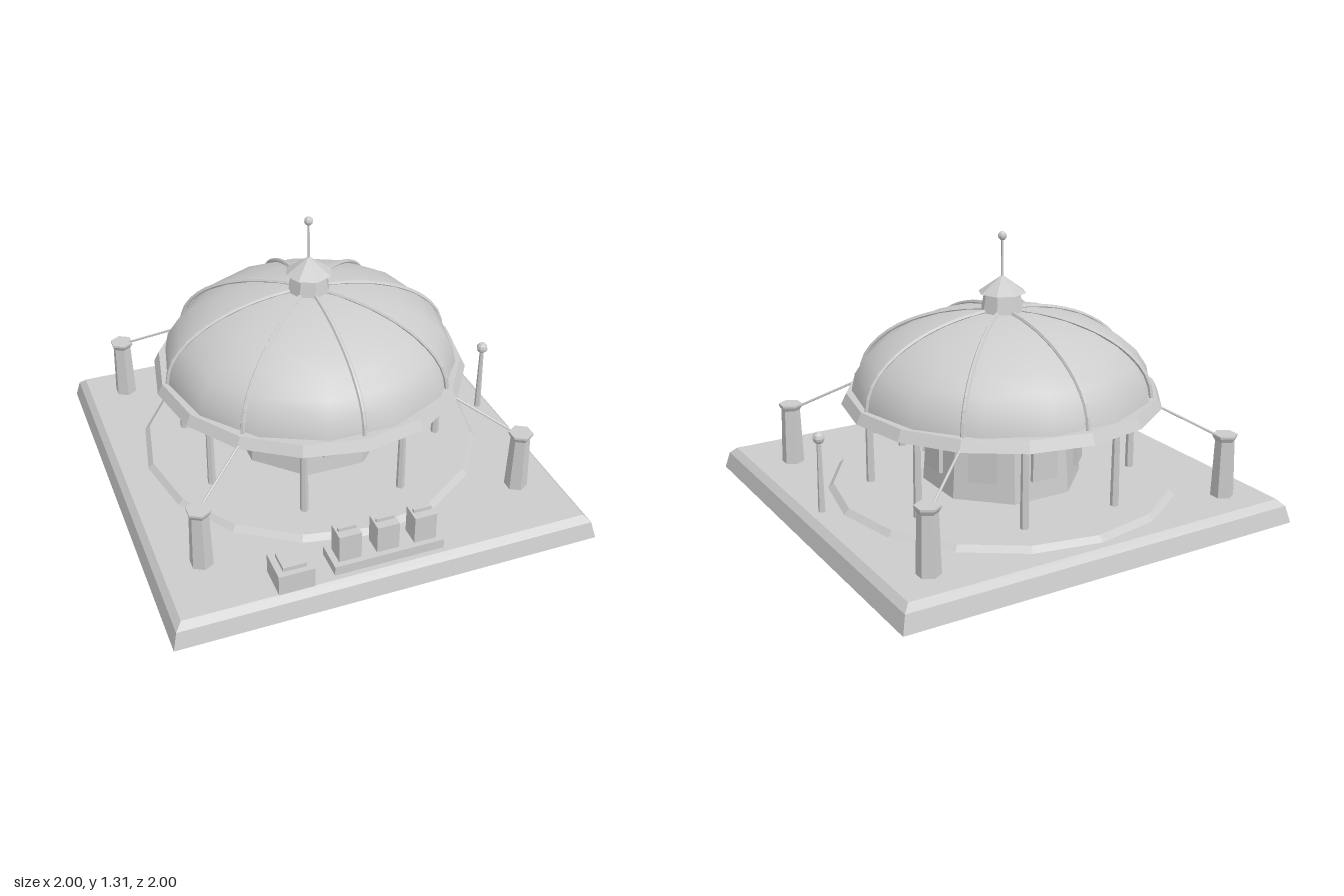
import * as THREE from 'three';
import { mergeVertices } from 'three/addons/utils/BufferGeometryUtils.js';

const grey = new THREE.MeshStandardMaterial({ color: 0xcccccc });
grey.name = 'light grey';

export function createModel() {
  const model = new THREE.Group();
  model.name = 'pavilion';

  // Facet the geometry, place it and name it
  const add = (parent, name, geo, x = 0, y = 0, z = 0, smooth = false) => {
    if (!smooth) {
      geo = geo.index ? geo.toNonIndexed() : geo;
      geo.computeVertexNormals();
    }
    const mesh = new THREE.Mesh(geo, grey);
    mesh.name = name;
    mesh.position.set(x, y, z);
    parent.add(mesh);
    return mesh;
  };
  const box = (parent, name, w, h, d, x, y, z) =>
    add(parent, name, new THREE.BoxGeometry(w, h, d), x, y + h / 2, z);
  // Solid of revolution from [radius, height] pairs, bottom to top
  const turned = (parent, name, profile, sides, x = 0, z = 0, start = 0) =>
    add(parent, name, new THREE.LatheGeometry(
      profile.map(([r, y]) => new THREE.Vector2(r, y)), sides, start), x, 0, z);

  // Square plinth with bevelled upper edge
  const q = Math.SQRT2;
  turned(model, 'plinth',
    [[0, 0], [q, 0], [0.98 * q, 0.08], [0.95 * q, 0.11], [0, 0.11]], 4, 0, 0, Math.PI / 4);

  // Everything round shares this centre
  const rotunda = new THREE.Group();
  rotunda.name = 'rotunda';
  rotunda.position.z = -0.085;
  model.add(rotunda);

  turned(rotunda, 'floorDisc', [[0.83, 0.105], [0.8, 0.135], [0, 0.135]], 16);

  // Eight-sided room with a window panel standing off every wall
  turned(rotunda, 'room',
    [[0.378, 0.13], [0.354, 0.44], [0.338, 0.46], [0, 0.46]], 8, 0, 0, Math.PI / 8);
  for (let i = 0; i < 8; i++) {
    const a = i * Math.PI / 4;
    const panel = box(rotunda, 'windowPanel', 0.13, 0.165, 0.02,
      0.365 * Math.sin(a), 0.235, 0.365 * Math.cos(a));
    panel.rotation.y = a;
  }

  // Columns carrying the roof
  for (let i = 0; i < 8; i++) {
    const a = (i + 0.5) * Math.PI / 4;
    add(rotunda, 'column', new THREE.CylinderGeometry(0.016, 0.02, 0.4, 6),
      0.625 * Math.sin(a), 0.335, 0.625 * Math.cos(a));
  }

  // Eave and smooth dome
  turned(rotunda, 'eave', [[0, 0.525], [0.75, 0.525], [0.725, 0.575], [0, 0.575]], 16);
  const dome = new THREE.SphereGeometry(1, 14, 7, 0, Math.PI * 2, 0, Math.PI / 2);
  dome.scale(0.7, 0.375, 0.7);
  dome.deleteAttribute('uv');
  dome.deleteAttribute('normal');
  const domeGeo = mergeVertices(dome, 1e-4);
  domeGeo.computeVertexNormals();
  add(rotunda, 'dome', domeGeo, 0, 0.572, 0, true);

  // Eight ribs following the dome
  const ribPoints = [];
  for (let i = 0; i <= 7; i++) {
    const t = 0.1 + (Math.PI / 2 - 0.1) * i / 7;
    ribPoints.push(new THREE.Vector3(0, 0.575 + 0.375 * Math.cos(t), 0.698 * Math.sin(t)));
  }
  const ribGeo = new THREE.TubeGeometry(new THREE.CatmullRomCurve3(ribPoints), 14, 0.011, 6);
  for (let i = 0; i < 8; i++) {
    add(rotunda, 'rib', ribGeo).rotation.y = i * Math.PI / 4;
  }

  // Cupola with pointed cap and finial
  turned(rotunda, 'cupola', [[0.103, 0.93], [0.085, 1.03]], 8);
  turned(rotunda, 'cupolaCap', [[0, 1.028], [0.112, 1.028], [0, 1.108]], 8);
  add(rotunda, 'finialRod', new THREE.CylinderGeometry(0.005, 0.006, 0.19, 6), 0, 1.185);
  add(rotunda, 'finialBall', new THREE.SphereGeometry(0.021, 8, 6), 0, 1.288);

  // Corner posts with stay cables running to the eave
  for (const sx of [-1, 1]) {
    for (const sz of [-1, 1]) {
      const x = 0.77 * sx, z = 0.71 * sz;
      turned(rotunda, 'cornerPost',
        [[0.054, 0.105], [0.045, 0.38], [0.057, 0.4], [0.057, 0.41], [0, 0.41]], 6, x, z + 0.015);
      const cable = new THREE.LineCurve3(
        new THREE.Vector3(x, 0.385, z), new THREE.Vector3(0.52 * sx, 0.535, 0.52 * sz));
      add(rotunda, 'stayCable', new THREE.TubeGeometry(cable, 1, 0.006, 6));
    }
  }

  // Row of three seats on a low platform
  const seats = new THREE.Group();
  seats.name = 'seatRow';
  seats.position.set(0, 0, 0.852);
  model.add(seats);
  box(seats, 'seatPlatform', 0.515, 0.048, 0.145, 0, 0.108, 0);
  for (const x of [-0.177, 0, 0.177]) {
    box(seats, 'seatBlock', 0.104, 0.135, 0.093, x, 0.155, 0);
    box(seats, 'seatBar', 0.084, 0.016, 0.014, x, 0.29, 0);
  }

  // Stepped chest
  box(model, 'chest', 0.165, 0.1, 0.157, -0.44, 0.108, 0.873);
  box(model, 'chestLid', 0.107, 0.02, 0.104, -0.44, 0.208, 0.873);

  // Lamp post
  add(model, 'lampPost', new THREE.CylinderGeometry(0.01, 0.016, 0.34, 6), 0.895, 0.275, 0);
  add(model, 'lampBall', new THREE.SphereGeometry(0.028, 8, 6), 0.895, 0.463, 0);

  return model;
}
